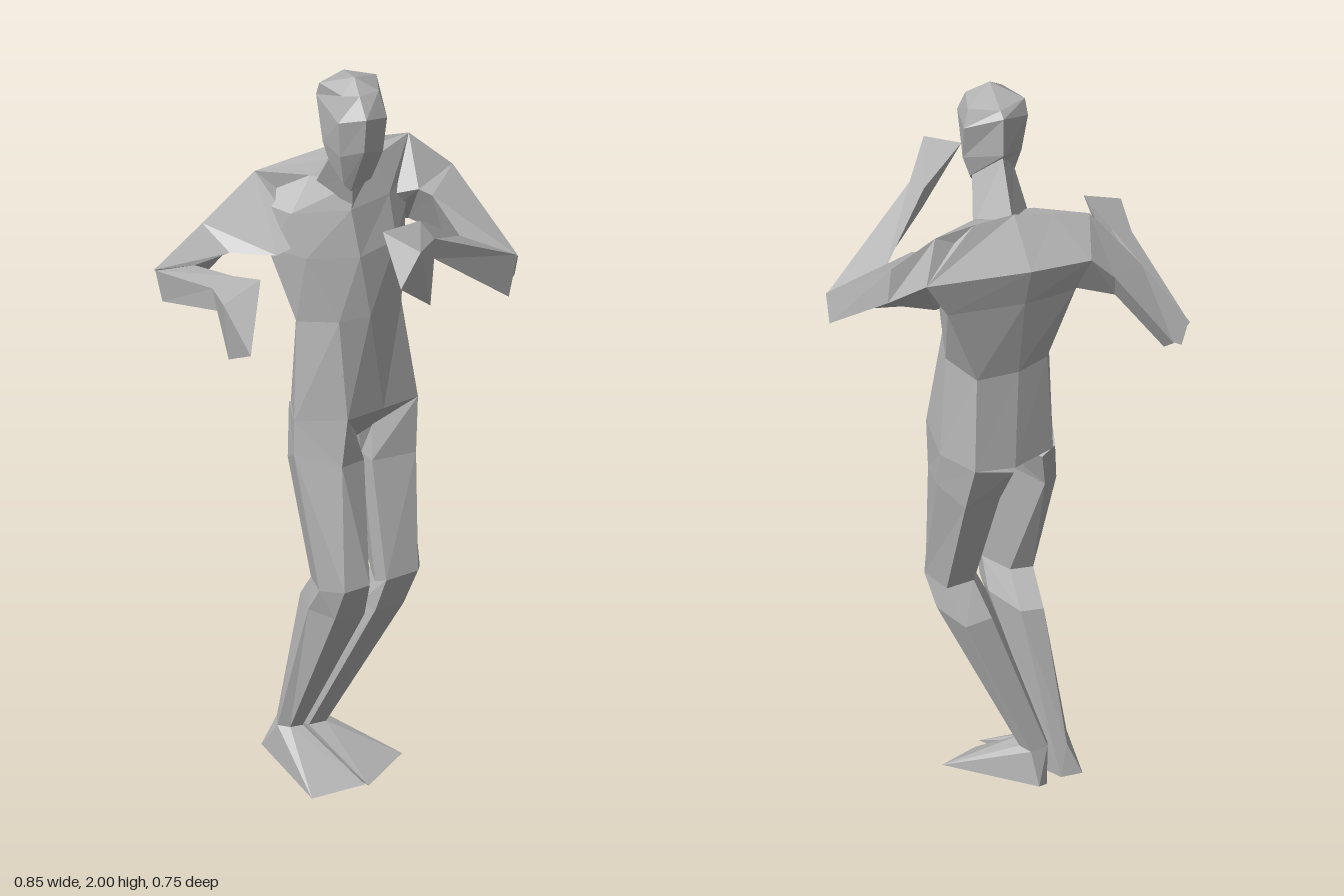
import * as THREE from 'three';
import { ConvexGeometry } from 'three/addons/geometries/ConvexGeometry.js';

const grey = new THREE.MeshStandardMaterial({ color: 0xb4b4b4, flatShading: true });
grey.name = 'plain grey';

const at = (ring, i) => ring[i % ring.length];
const centre = (ring) => [0, 1, 2].map((k) => ring.reduce((s, p) => s + p[k], 0) / ring.length);

// Skin a row of cross-sections and close both ends; faces are turned outward by the sign of the volume.
function loft(name, rings) {
  const n = rings[0].length;
  const tris = [];
  const first = rings[0], last = rings[rings.length - 1];
  const c0 = centre(first), c1 = centre(last);
  for (let i = 0; i < n; i++) {
    for (let j = 0; j < rings.length - 1; j++) {
      const a = at(rings[j], i), b = at(rings[j], i + 1);
      const c = at(rings[j + 1], i + 1), d = at(rings[j + 1], i);
      tris.push([a, b, c]);
      if (c !== d) tris.push([a, c, d]);
    }
    tris.push([c0, at(first, i + 1), at(first, i)]);
    if (last.length > 1) tris.push([c1, at(last, i), at(last, i + 1)]);
  }
  const v = tris.map((t) => t.map((p) => new THREE.Vector3(...p)));
  const volume = v.reduce((s, [a, b, c]) => s + a.dot(b.clone().cross(c)), 0);
  const points = v.flatMap(([a, b, c]) => (volume < 0 ? [a, c, b] : [a, b, c]));
  const geometry = new THREE.BufferGeometry().setFromPoints(points);
  geometry.computeVertexNormals();
  return named(name, geometry);
}

// Faceted solid around a few corner points
const hull = (name, points) => named(name, new ConvexGeometry(points.map((p) => new THREE.Vector3(...p))));

function named(name, geometry) {
  const mesh = new THREE.Mesh(geometry, grey);
  mesh.name = name;
  return mesh;
}

export function createModel() {
  const model = new THREE.Group();
  model.name = 'figure';

  // Head: jaw, cheeks, brow, crown, tip (left, back, right, front right, front, front left)
  model.add(loft('head', [
    [[.06, 1.76, -.02], [0, 1.8, -.07], [-.065, 1.75, -.02], [-.05, 1.71, .035], [-.03, 1.685, .035], [.03, 1.71, .03]],
    [[.08, 1.82, -.02], [0, 1.85, -.1], [-.08, 1.81, -.03], [-.07, 1.8, .06], [-.02, 1.82, .1], [.045, 1.8, .07]],
    [[.085, 1.92, -.04], [0, 1.96, -.1], [-.085, 1.93, -.06], [-.08, 1.9, .07], [-.02, 1.915, .113], [.05, 1.9, .085]],
    [[.07, 1.97, -.03], [0, 1.975, -.08], [-.085, 1.97, -.04], [-.06, 1.965, .05], [-.02, 1.965, .07], [.04, 1.965, .055]],
    [[-.015, 2, .025]],
  ]));
  model.add(loft('neck', [
    [[.09, 1.66, -.11], [.01, 1.7, -.182], [-.07, 1.65, -.11], [0, 1.62, -.02]],
    [[.05, 1.78, -.01], [0, 1.84, -.095], [-.06, 1.77, -.02], [-.015, 1.71, .01]],
  ]));

  // Torso: hips, waist, chest, shoulder blades, shoulder line (left, three back, right, three front)
  model.add(loft('torso', [
    [[.195, 1.02, -.14], [.14, 1.01, -.24], [.03, 1, -.245], [-.09, 1.01, -.21],
      [-.155, 1.03, -.04], [-.045, 1.05, .05], [.07, 1.05, .017], [.18, 1.05, -.016]],
    [[.175, 1.3, -.13], [.125, 1.27, -.217], [.01, 1.27, -.22], [-.08, 1.28, -.195],
      [-.14, 1.3, -.06], [-.06, 1.32, .03], [.03, 1.32, .025], [.14, 1.32, -.03]],
    [[.21, 1.5, -.165], [.215, 1.5, -.235], [.01, 1.5, -.262], [-.135, 1.5, -.25],
      [-.19, 1.49, -.13], [-.13, 1.49, -.02], [.01, 1.48, .005], [.13, 1.49, -.04]],
    [[.26, 1.63, -.2], [.28, 1.61, -.25], [.005, 1.61, -.29], [-.165, 1.6, -.285],
      [-.21, 1.6, -.2], [-.15, 1.6, -.07], [0, 1.6, -.03], [.13, 1.6, -.085]],
    [[.23, 1.71, -.19], [.12, 1.72, -.185], [.005, 1.72, -.178], [-.1, 1.7, -.185],
      [-.2, 1.68, -.19], [-.08, 1.68, -.11], [.02, 1.66, -.055], [.1, 1.69, -.12]],
  ]));
  model.add(hull('crotch', [[-.045, 1.05, .05], [.18, 1.05, -.016], [.02, .96, -.04],
    [.02, .98, -.2], [-.09, 1.01, -.2], [.14, 1.01, -.23]]));

  // Left arm, folded across the chest (upper arm: top, back, bottom, inner)
  model.add(loft('leftUpperArm', [
    [[.14, 1.67, -.19], [.2, 1.6, -.24], [.13, 1.49, -.16], [.12, 1.58, -.12]],
    [[.23, 1.71, -.19], [.28, 1.61, -.25], [.22, 1.48, -.17], [.21, 1.6, -.08]],
    [[.335, 1.62, -.15], [.345, 1.52, -.15], [.28, 1.46, -.09], [.235, 1.59, -.05]],
    [[.42, 1.44, .075], [.425, 1.37, .04], [.365, 1.36, .1], [.285, 1.49, .024]],
  ]));
  const leftWrist = [[.11, 1.63, .16], [.117, 1.61, .235], [.115, 1.555, .238], [.11, 1.56, .175]];
  model.add(loft('leftForearm', [
    [[.28, 1.5, .024], [.42, 1.44, .07], [.367, 1.36, .137], [.36, 1.365, .06]],
    leftWrist,
  ]));
  model.add(hull('leftHand', [...leftWrist,
    [-.04, 1.67, .265], [.02, 1.645, .37], [-.035, 1.55, .37], [.07, 1.465, .317]]));

  // Right arm, elbow behind and hand hanging forward
  model.add(loft('rightUpperArm', [
    [[-.12, 1.66, -.19], [-.09, 1.6, -.275], [-.1, 1.48, -.2], [-.12, 1.52, -.06]],
    [[-.2, 1.68, -.19], [-.165, 1.6, -.285], [-.16, 1.47, -.2], [-.19, 1.49, -.07]],
    [[-.32, 1.53, -.25], [-.225, 1.54, -.297], [-.25, 1.45, -.24], [-.285, 1.48, -.155]],
    [[-.418, 1.38, -.335], [-.355, 1.355, -.375], [-.36, 1.3, -.3], [-.345, 1.42, -.24]],
  ]));
  const rightWrist = [[-.4, 1.465, 0], [-.343, 1.49, 0], [-.345, 1.425, .03], [-.4, 1.415, .03]];
  model.add(loft('rightForearm', [
    [[-.416, 1.38, -.33], [-.345, 1.42, -.24], [-.35, 1.32, -.28], [-.405, 1.3, -.31]],
    rightWrist,
  ]));
  model.add(hull('rightHand', [...rightWrist,
    [-.428, 1.48, .135], [-.318, 1.525, .12], [-.405, 1.315, .116], [-.393, 1.37, .23]]));

  // Legs: hip, upper thigh, knee, calf, ankle (outer, front outer, front inner, inner, back inner, back outer)
  const leftAnkle = [[-.005, .12, -.19], [-.02, .12, -.145], [-.07, .12, -.14],
    [-.088, .12, -.18], [-.07, .12, -.22], [-.02, .12, -.23]];
  model.add(loft('leftLeg', [
    [[.195, 1.02, -.14], [.18, 1.05, -.016], [.06, .99, -.03], [.03, .96, -.05], [.03, .98, -.235], [.14, 1.01, -.24]],
    [[.195, .92, -.12], [.17, .9, -.005], [.045, .9, 0], [.04, .9, -.06], [.05, .88, -.19], [.15, .88, -.2]],
    [[.178, .58, 0], [.145, .6, .065], [.05, .595, .08], [.045, .57, .02], [.07, .57, -.07], [.15, .57, -.08]],
    [[.165, .5, -.05], [.12, .5, .03], [.035, .5, .045], [.015, .5, -.02], [.05, .49, -.14], [.13, .49, -.155]],
    leftAnkle,
  ]));
  const rightAnkle = [[-.145, .12, -.17], [-.12, .12, -.145], [-.085, .12, -.145],
    [-.072, .12, -.19], [-.085, .12, -.22], [-.12, .12, -.23]];
  model.add(loft('rightLeg', [
    [[-.155, 1.03, -.04], [-.045, 1.05, .05], [0, .99, -.005], [.01, .97, -.05], [-.06, .99, -.21], [-.1, 1.01, -.2]],
    [[-.16, .94, -.03], [-.06, .92, .05], [.012, .92, .025], [-.01, .9, -.05], [-.085, .88, -.17], [-.125, .88, -.15]],
    [[-.115, .575, .03], [-.075, .59, .1], [-.005, .6, .1], [.005, .57, .03], [-.035, .57, -.06], [-.095, .57, -.07]],
    [[-.12, .5, -.03], [-.082, .5, .055], [0, .5, .055], [.012, .5, -.03], [-.03, .49, -.14], [-.09, .49, -.15]],
    rightAnkle,
  ]));

  // Feet: ankle corners joined to wide toes and a narrow heel
  model.add(hull('leftFoot', [...leftAnkle,
    [.157, .03, -.065], [.025, 0, .025], [-.06, .02, -.24], [-.03, .03, -.26]]));
  model.add(hull('rightFoot', [...rightAnkle,
    [-.14, 0, .04], [.01, .01, .035], [-.155, .035, -.25], [-.1, .03, -.24]]));

  return model;
}
